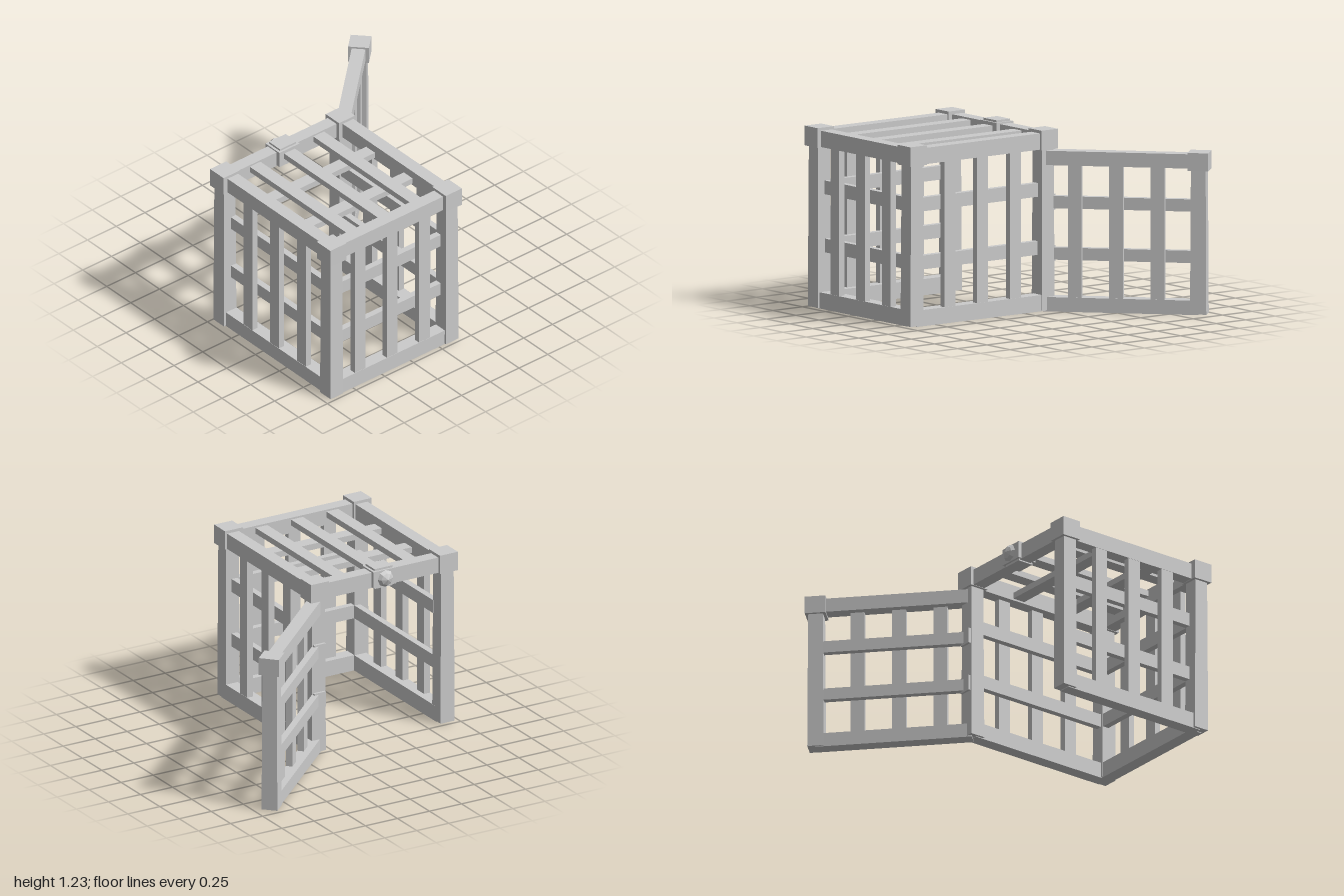
import * as THREE from 'three';

const mat = new THREE.MeshStandardMaterial({ color: 0xcccccc, flatShading: true });

function add(parent, name, geo, x, y, z) {
  const m = new THREE.Mesh(geo, mat);
  m.name = name;
  m.position.set(x, y, z);
  parent.add(m);
  return m;
}

// box given by its size and centre
const box = (parent, name, [w, h, d], [x, y, z]) =>
  add(parent, name, new THREE.BoxGeometry(w, h, d), x, y, z);

// square post, slightly wider at the foot, with a block on top
function post(parent, x, z, y0, y1, capTop) {
  const g = new THREE.BoxGeometry(0.1, y1 - y0, 0.1);
  const p = g.attributes.position;
  for (let i = 0; i < p.count; i++) {
    const s = p.getY(i) < 0 ? 1.1 : 1;
    p.setX(i, p.getX(i) * s);
    p.setZ(i, p.getZ(i) * s);
  }
  add(parent, 'post', g, x, (y0 + y1) / 2, z);
  box(parent, 'postCap', [0.14, capTop - y1, 0.14], [x, (y1 + capTop) / 2, z]);
}

// lattice panel along local x from 0 to len, outside facing local +z
function panel(name, len, o) {
  const g = new THREE.Group();
  g.name = name;
  const railH = o.railH;
  box(g, 'bottomRail', [len, railH, 0.092], [len / 2, o.bottom + railH / 2, 0]);
  box(g, 'topRail', [len, railH, 0.092], [len / 2, o.top + railH / 2, 0]);
  const y0 = o.bottom + railH - 0.01, y1 = o.top + 0.01;
  for (const t of o.uprights)
    box(g, 'uprightBar', [0.094, y1 - y0, 0.044], [t, (y0 + y1) / 2, 0.022]);
  for (const y of o.crossbars)
    box(g, 'crossBar', [len - 0.09, o.barH, 0.044], [len / 2, y, -0.022]);
  return g;
}

export function createModel() {
  const model = new THREE.Group();
  model.name = 'cage';
  const X0 = -0.182, X1 = 0.93, Z0 = -0.1, Z1 = 0.905;

  // corner posts
  for (const x of [X0, X1]) for (const z of [Z0, Z1]) post(model, x, z, 0.01, 1.097, 1.23);

  // three fixed walls
  const W = X1 - X0, D = Z1 - Z0;
  const wall = { bottom: 0.005, top: 1.1, railH: 0.11, barH: 0.093, crossbars: [0.427, 0.82] };
  const wide = { ...wall, uprights: [0.28, 0.557, 0.837] };
  const front = panel('frontWall', W, wide);
  front.position.set(X0, 0, Z1 - 0.01);
  const back = panel('backWall', W, wide);
  back.rotation.y = Math.PI;
  back.position.set(X1, 0, Z0 - 0.008);
  const side = panel('sideWall', D, { ...wall, uprights: [0.217, 0.495, 0.775] });
  side.rotation.y = Math.PI / 2;
  side.position.set(X1 - 0.005, 0, Z1);
  model.add(front, back, side);

  // rail above the doorway
  box(model, 'doorwayRail', [0.092, 0.11, D], [X0 - 0.003, 1.155, (Z0 + Z1) / 2]);

  // roof lattice
  for (const z of [0.125, 0.403, 0.678])
    box(model, 'roofBar', [W - 0.08, 0.042, 0.093], [(X0 + X1) / 2, 1.176, z]);
  for (const x of [0.178, 0.57])
    box(model, 'roofCrossBar', [0.092, 0.042, D - 0.06], [x, 1.134, (Z0 + Z1) / 2]);

  // latch on the doorway rail
  const latch = new THREE.Group();
  latch.name = 'latch';
  box(latch, 'latchBlock', [0.145, 0.115, 0.175], [X0, 1.163, 0.403]);
  box(latch, 'latchBand', [0.115, 0.143, 0.14], [X0, 1.163, 0.403]);
  const knobProfile = [[0, 0], [0.04, 0], [0.06, 0.012], [0.042, 0.032], [0, 0.05]]
    .map(([r, h]) => new THREE.Vector2(r, h));
  const knob = add(latch, 'knob', new THREE.LatheGeometry(knobProfile, 8), X0 - 0.07, 1.163, 0.403);
  knob.rotation.z = Math.PI / 2;
  model.add(latch);

  // open door, swung round the back post
  const L = 1.056;
  const door = panel('door', L, {
    bottom: 0, top: 0.99, railH: 0.097, barH: 0.083,
    uprights: [0.22, 0.5, 0.78], crossbars: [0.385, 0.733],
  });
  post(door, L, 0, 0.005, 0.978, 1.1);
  door.position.set(X0, 0, Z0);
  door.rotation.y = 2.323;
  model.add(door);

  // hinges
  for (const y of [0.385, 0.733])
    box(model, 'hinge', [0.06, 0.108, 0.09], [X0 - 0.04, y, Z0]);

  return model;
}
